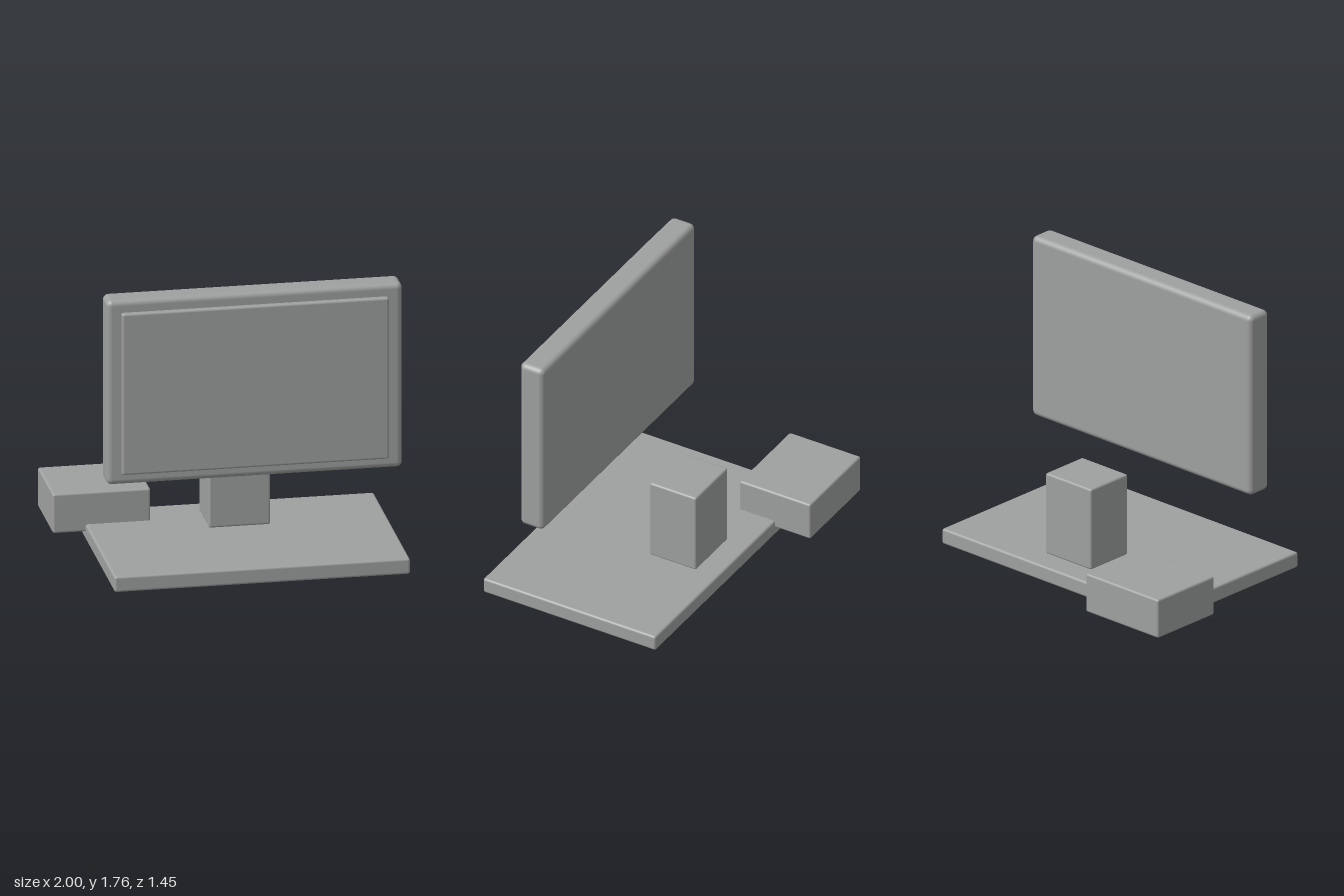
import * as THREE from 'three';
import { RoundedBoxGeometry } from 'three/addons/geometries/RoundedBoxGeometry.js';

export function createModel() {
  const model = new THREE.Group();
  model.name = 'desktopMonitor';
  const grey = new THREE.MeshStandardMaterial({ color: 0x9fa1a0 });
  grey.name = 'grey';

  // Rounded block given by its extents on each axis and its edge radius
  function block(name, [x0, x1], [y0, y1], [z0, z1], radius) {
    const geometry = new RoundedBoxGeometry(x1 - x0, y1 - y0, z1 - z0, 4, radius);
    const mesh = new THREE.Mesh(geometry, grey);
    mesh.name = name;
    mesh.position.set((x0 + x1) / 2, (y0 + y1) / 2, (z0 + z1) / 2);
    model.add(mesh);
  }

  // Flat base plate and the post standing on it
  block('base', [-0.8, 1], [0, 0.1], [-0.48, 0.72], 0.015);
  block('stand', [-0.09, 0.285], [0.105, 0.63], [-0.338, -0.013], 0.014);

  // Display housing with the screen panel on its front
  block('housing', [-0.8, 1], [0.59, 1.762], [0.302, 0.468], 0.035);
  block('screen', [-0.715, 0.91], [0.665, 1.69], [0.469, 0.512], 0.014);

  // Separate box overlapping the rear corner of the base
  block('rearBox', [-1, -0.405], [0.053, 0.303], [-0.725, -0.23], 0.014);

  return model;
}
